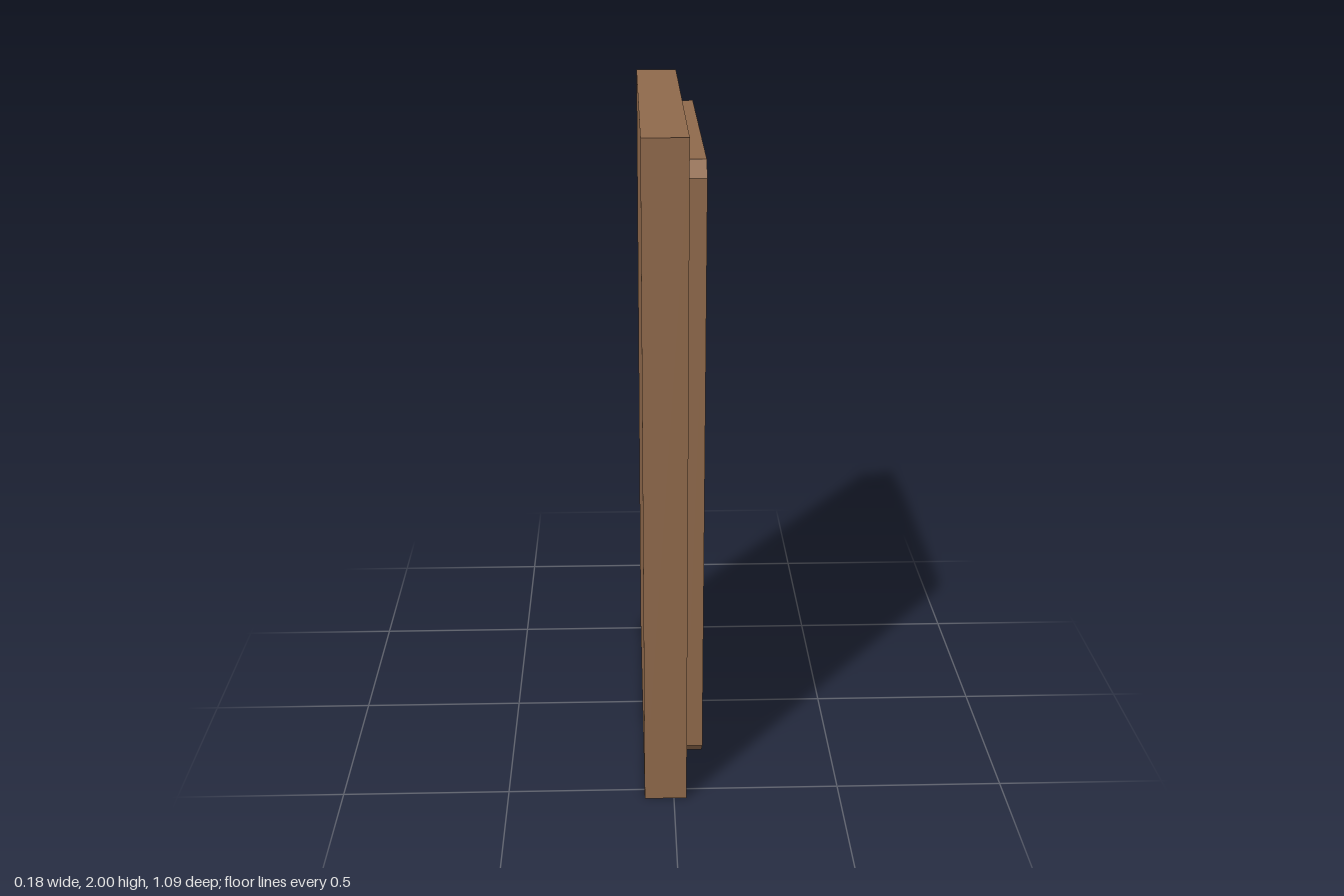
import * as THREE from 'three';

const brown = new THREE.MeshStandardMaterial({ name: 'brown wood', color: 0x8f694b });
const teal = new THREE.MeshStandardMaterial({ name: 'teal glass', color: 0x0fcbcc });

const faceX = 0.038; // outer face of the slab
const outX = 0.088; // outer face of the raised panel

function add(group, name, geometry, material, x, y, z) {
  const mesh = new THREE.Mesh(geometry, material);
  mesh.name = name;
  mesh.position.set(x, y, z);
  group.add(mesh);
  return mesh;
}

// Closed outline from [u, y] corners, where u = -z
const points = (list) => list.map(([u, y]) => new THREE.Vector2(u, y));

export function createModel() {
  const door = new THREE.Group();
  door.name = 'door';

  // Main slab
  add(door, 'slab', new THREE.BoxGeometry(faceX + 0.088, 2, 1.094), brown, (faceX - 0.088) / 2, 1, 0);

  // Raised panel with clipped corners and a window slot
  const [l, r, b, t] = [-0.473, 0.486, 0.094, 1.92];
  const [cu, cy] = [0.042, 0.042];
  const outline = new THREE.Shape(points([
    [l + cu, b], [r - cu, b], [r, b + cy], [r, t - cy],
    [r - cu, t], [l + cu, t], [l, t - cy], [l, b + cy],
  ]));
  const slot = { l: 0.08, r: 0.302, b: 0.386, t: 1.72 };
  outline.holes.push(new THREE.Path(points([
    [slot.l, slot.b], [slot.l, slot.t], [slot.r, slot.t], [slot.r, slot.b],
  ])));
  const panel = new THREE.ExtrudeGeometry(outline, { depth: outX - faceX, bevelEnabled: false });
  panel.rotateY(Math.PI / 2);
  add(door, 'raisedPanel', panel, brown, faceX, 0, 0);

  // Window pane at the bottom of the slot
  add(door, 'windowPane', new THREE.BoxGeometry(0.004, slot.t - slot.b, slot.r - slot.l), teal,
    faceX + 0.001, (slot.t + slot.b) / 2, -(slot.l + slot.r) / 2);

  return door;
}
